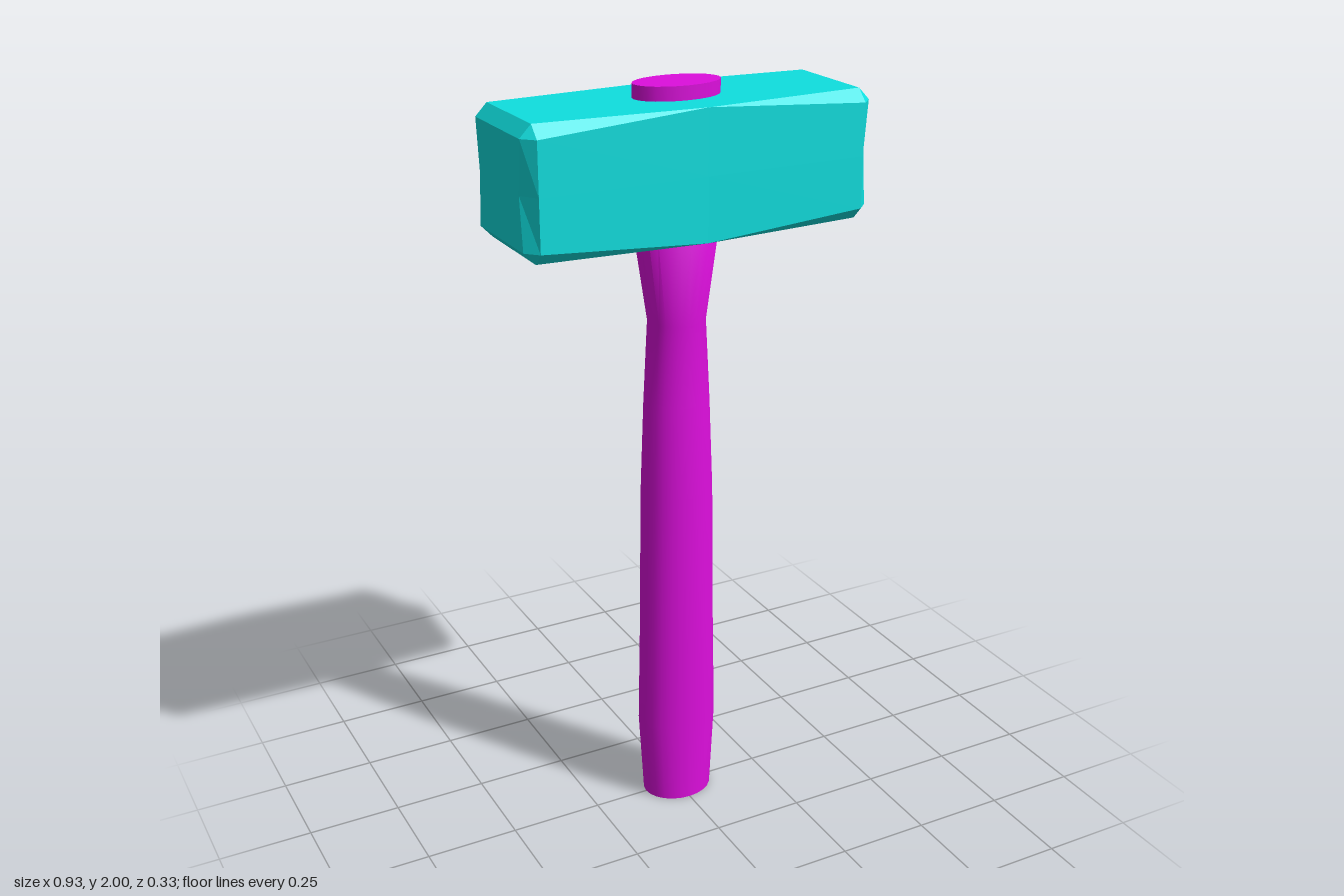
import * as THREE from 'three';
import { toCreasedNormals } from 'three/addons/utils/BufferGeometryUtils.js';

// Skin a list of rings (counter-clockwise about the travel direction) and cap both ends.
function loft(rings) {
  const pos = [];
  const tri = (a, b, c) => {
    if (new THREE.Triangle(a, b, c).getArea() > 1e-7) {
      for (const p of [a, b, c]) pos.push(p.x, p.y, p.z);
    }
  };
  const n = rings[0].length;
  for (let r = 0; r < rings.length - 1; r++) {
    const a = rings[r], b = rings[r + 1];
    for (let i = 0; i < n; i++) {
      const j = (i + 1) % n;
      tri(a[i], a[j], b[j]);
      tri(a[i], b[j], b[i]);
    }
  }
  const cap = (ring, flip) => {
    const mid = new THREE.Vector3();
    ring.forEach((p) => mid.addScaledVector(p, 1 / n));
    for (let i = 0; i < n; i++) {
      const p = ring[i], q = ring[(i + 1) % n];
      flip ? tri(mid, q, p) : tri(mid, p, q);
    }
  };
  cap(rings[0], true);
  cap(rings[rings.length - 1], false);
  const geo = new THREE.BufferGeometry();
  geo.setAttribute('position', new THREE.Float32BufferAttribute(pos, 3));
  geo.computeVertexNormals();
  return geo;
}

// Square section with clipped corners: h half size, c half flat, m half depth at mid height.
function headRing(x, h, c, m) {
  return [
    [h, -c], [h, c], [c, h], [0, m], [-c, h],
    [-h, c], [-h, -c], [-c, -h], [0, -m], [c, -h],
  ].map(([y, z]) => new THREE.Vector3(x, y, z));
}

// Oval section at height y.
function ovalRing(y, rx, rz, n = 24) {
  return Array.from({ length: n }, (_, i) => {
    const a = (i / n) * Math.PI * 2;
    return new THREE.Vector3(Math.sin(a) * rx, y, Math.cos(a) * rz);
  });
}

export function createModel() {
  const group = new THREE.Group();
  group.name = 'sledgehammer';

  // Steel head: chamfers widen from nothing at the middle to the striking faces
  const H = 0.163, C = 0.132;
  const head = new THREE.Mesh(
    loft([
      headRing(-0.465, C, C, 0.118),
      headRing(-0.435, H, C, H),
      headRing(0, H, H, H),
      headRing(0.435, H, C, H),
      headRing(0.465, C, C, 0.118),
    ]),
    new THREE.MeshStandardMaterial({ color: 0x0fdfdf, flatShading: true })
  );
  head.name = 'head';
  head.position.y = 1.802;
  group.add(head);

  // Oval handle: swollen grip, narrow neck, flared shoulder, tenon through the head
  const profile = [
    // y, half width, half depth
    [0, 0.097, 0.081],
    [0.24, 0.112, 0.081],
    [0.5, 0.106, 0.081],
    [0.93, 0.099, 0.081],
    [1.18, 0.09, 0.071],
    [1.4, 0.077, 0.067],
    [1.62, 0.111, 0.079],
    [1.64, 0.102, 0.071],
    [1.66, 0.115, 0.071],
    [2, 0.115, 0.071],
  ];
  const handle = new THREE.Mesh(
    toCreasedNormals(loft(profile.map((p) => ovalRing(...p))), 0.6),
    new THREE.MeshStandardMaterial({ color: 0xdd0fdd })
  );
  handle.name = 'handle';
  group.add(handle);

  return group;
}
